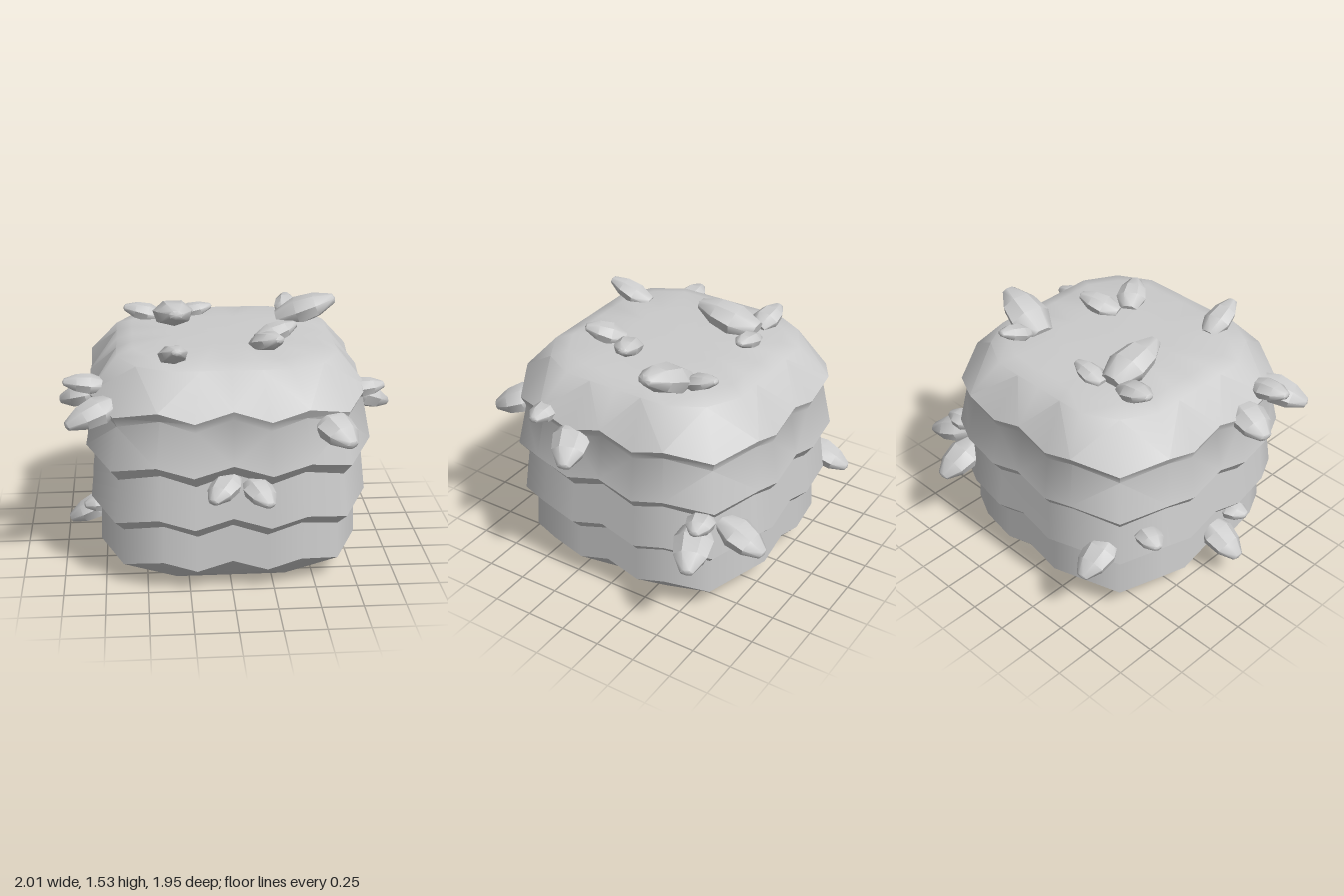
import * as THREE from 'three';
import { toCreasedNormals } from 'three/addons/utils/BufferGeometryUtils.js';

const HALF = 0.82;

// Rounded-square outline, alternating zigzag peaks and valleys
function outline() {
  const side = [[-0.43, HALF], [-0.22, HALF], [0, HALF], [0.22, HALF], [0.43, HALF], [0.68, 0.68]];
  const points = [];
  for (let s = 0; s < 4; s++) {
    for (const [px, pz] of side) {
      let x = px, z = pz;
      for (let k = 0; k < s; k++) [x, z] = [z, -x];
      points.push([x / HALF, z / HALF]);
    }
  }
  return points;
}

// Stacked overlapping layers: [half width, height at peaks, drop at valleys]
const RINGS = [
  [0, 0, 0], [0.62, 0.035, 0], [0.775, 0.205, 0.065],
  [0.765, 0.435, 0.07], [0.825, 0.5, 0.07],
  [0.795, 0.77, 0.075], [0.845, 0.835, 0.07],
  [0.795, 1.1, 0.075], [0.82, 1.155, 0.07],
  [0.655, 1.345, 0], [0.56, 1.375, 0], [0.3, 1.385, 0], [0, 1.385, 0],
];

function bodyGeometry() {
  const section = outline(), n = section.length;
  const positions = [], index = [];
  for (const [r, y, drop] of RINGS) {
    section.forEach(([x, z], i) => positions.push(x * r, y - (i % 2 ? drop : 0), z * r));
  }
  for (let j = 0; j < RINGS.length - 1; j++) {
    for (let i = 0; i < n; i++) {
      const a = j * n + i, b = j * n + (i + 1) % n, c = a + n, d = b + n;
      if (RINGS[j][0] > 0) index.push(a, b, i % 2 ? c : d);
      if (RINGS[j + 1][0] > 0) index.push(i % 2 ? b : a, d, c);
      // close the quad when both rings are open and the diagonal differs
    }
  }
  const g = new THREE.BufferGeometry();
  g.setAttribute('position', new THREE.Float32BufferAttribute(positions, 3));
  g.setIndex(index);
  return toCreasedNormals(g, 0.66);
}

// Blunt faceted shard along +z with unit length and unit width
function shardGeometry() {
  const profile = [[0, 0], [0.28, 0], [0.5, 0.35], [0.42, 0.68], [0.17, 0.97], [0, 1]]
    .map(([r, t]) => new THREE.Vector2(r, t));
  const g = new THREE.LatheGeometry(profile, 7);
  g.rotateX(Math.PI / 2);
  return toCreasedNormals(g, 0.8);
}

// Each shard: base x y z, tip x y z, width
const TOP = [
  [-0.37, 1.38, -0.35, -0.61, 1.44, -0.37, 0.18],
  [-0.31, 1.4, -0.38, -0.29, 1.49, 0.02, 0.26],
  [-0.27, 1.38, -0.4, -0.05, 1.43, -0.4, 0.15],
  [0.42, 1.38, -0.33, 0.44, 1.46, -0.55, 0.15],
  [0.36, 1.37, -0.29, 0.72, 1.51, -0.24, 0.27],
  [0.19, 1.38, 0.19, 0.43, 1.45, 0.1, 0.18],
  [0.17, 1.38, 0.26, 0.3, 1.46, 0.46, 0.19],
  [-0.34, 1.36, 0.42, -0.31, 1.47, 0.69, 0.18],
];
const LEFT = [
  [0.7, 1.13, 0.41, 0.93, 1.15, 0.39, 0.17],
  [0.7, 1.08, 0.24, 1.0, 0.95, 0.13, 0.24],
  [0.68, 0.65, -0.58, 1.0, 0.54, -0.7, 0.24],
  [0.66, 0.71, -0.62, 0.86, 0.71, -0.66, 0.18],
];
const RIGHT = [
  [-0.72, 1.19, 0.41, -0.97, 1.22, 0.42, 0.18],
  [-0.66, 1.13, 0.53, -0.95, 1.03, 0.66, 0.24],
  [-0.72, 1.12, 0.27, -1.0, 1.04, 0.21, 0.24],
  [-0.7, 0.32, 0.06, -0.98, 0.18, 0.06, 0.23],
  [-0.7, 0.36, 0.2, -0.88, 0.35, 0.24, 0.17],
  [-0.68, 0.61, -0.5, -0.88, 0.61, -0.57, 0.17],
];
const FRONT = [
  [0.01, 0.74, 0.74, -0.13, 0.66, 0.95, 0.19],
  [0.1, 0.71, 0.74, 0.2, 0.64, 0.97, 0.19],
  [0.53, 1.06, 0.64, 0.67, 0.96, 0.89, 0.25],
];
const BACK = [
  [0.58, 0.65, -0.68, 0.59, 0.52, -0.97, 0.24],
  [-0.57, 0.55, -0.64, -0.6, 0.43, -0.92, 0.22],
];

export function createModel() {
  const model = new THREE.Group();
  const material = new THREE.MeshStandardMaterial({ color: 0xcccccc });

  const body = new THREE.Mesh(bodyGeometry(), material);
  body.name = 'layeredBody';
  model.add(body);

  // Shards scattered in clusters over each face
  const shard = shardGeometry();
  const clusters = { topShards: TOP, leftShards: LEFT, rightShards: RIGHT, frontShards: FRONT, backShards: BACK };
  for (const [name, list] of Object.entries(clusters)) {
    const group = new THREE.Group();
    group.name = name;
    for (const [bx, by, bz, tx, ty, tz, width] of list) {
      const base = new THREE.Vector3(bx, by, bz), tip = new THREE.Vector3(tx, ty, tz);
      const mesh = new THREE.Mesh(shard, material);
      mesh.name = 'shard';
      mesh.position.copy(base);
      mesh.lookAt(tip);
      mesh.scale.set(width, width * 0.66, base.distanceTo(tip));
      group.add(mesh);
    }
    model.add(group);
  }
  return model;
}
